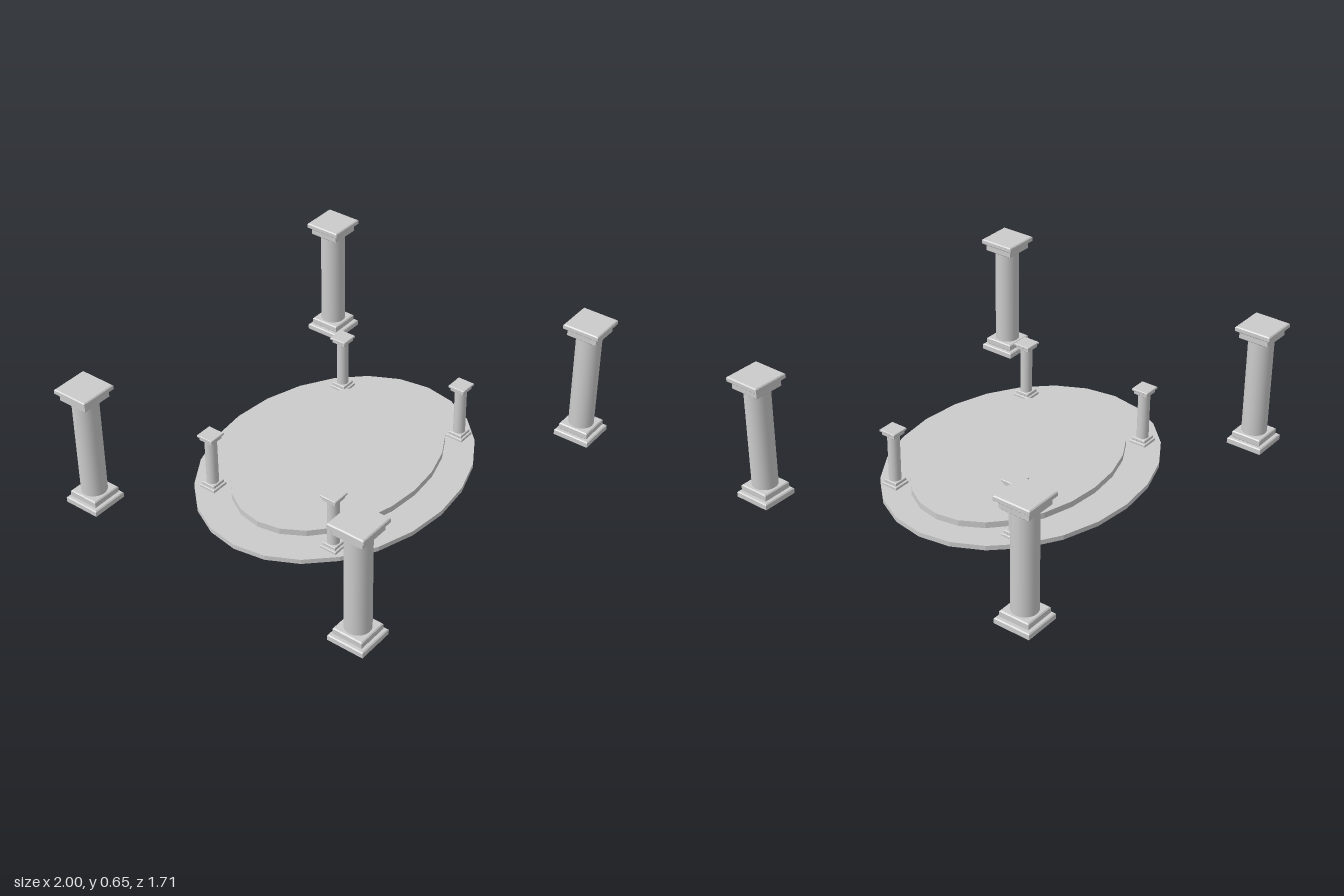
import * as THREE from 'three';

const smooth = new THREE.MeshStandardMaterial({ color: 0xcccccc });
const flat = new THREE.MeshStandardMaterial({ color: 0xcccccc, flatShading: true });

function add(parent, name, geometry, material, x = 0, y = 0, z = 0) {
  const mesh = new THREE.Mesh(geometry, material);
  mesh.name = name;
  mesh.position.set(x, y, z);
  parent.add(mesh);
  return mesh;
}

// Square block with chamfered edges, turned from a four-sided profile
function slab(width, y0, y1, bevel = 0.005) {
  const h = width / 2;
  const profile = [[0, y0], [h - bevel, y0], [h, y0 + bevel], [h, y1 - bevel], [h - bevel, y1], [0, y1]]
    .map(([r, y]) => new THREE.Vector2(r * Math.SQRT2, y));
  return new THREE.LatheGeometry(profile, 4, Math.PI / 4);
}

// Column with stepped square base and capital, 0.645 tall at full scale
function column(name, x, y, z, scale) {
  const group = new THREE.Group();
  group.name = name;
  add(group, 'plinth', slab(0.186, 0, 0.034), flat);
  add(group, 'baseStep', slab(0.154, 0.034, 0.07), flat);
  add(group, 'shaft', new THREE.CylinderGeometry(0.062, 0.062, 0.52, 24), smooth, 0, 0.325, 0);
  add(group, 'capitalStep', slab(0.154, 0.578, 0.617), flat);
  add(group, 'abacus', slab(0.186, 0.617, 0.645), flat);
  group.position.set(x, y, z);
  group.scale.setScalar(scale);
  return group;
}

// Elliptical step
function disc(parent, name, rx, rz, y0, y1, x, z) {
  const geometry = new THREE.CylinderGeometry(1, 1, y1 - y0, 24).scale(rx, 1, rz);
  add(parent, name, geometry, flat, x, (y0 + y1) / 2, z);
}

export function createModel() {
  const model = new THREE.Group();
  model.name = 'columnPlatform';

  // Two-step oval platform
  disc(model, 'lowerStep', 0.758, 0.605, 0.013, 0.037, -0.038, -0.021);
  disc(model, 'upperStep', 0.614, 0.438, 0.037, 0.068, -0.02, -0.018);

  // Tall columns at the outer corners
  const outer = [[-0.907, 0, -0.767], [0.905, 0.004, -0.765], [-0.907, 0.002, 0.757], [0.897, 0.005, 0.759]];
  for (const [x, y, z] of outer) model.add(column('tallColumn', x, y, z, 1));

  // Short columns standing on the platform
  const inner = [[-0.528, -0.372], [0.47, -0.372], [-0.532, 0.34], [0.487, 0.322]];
  for (const [x, z] of inner) model.add(column('shortColumn', x, 0.034, z, 0.47));

  return model;
}
